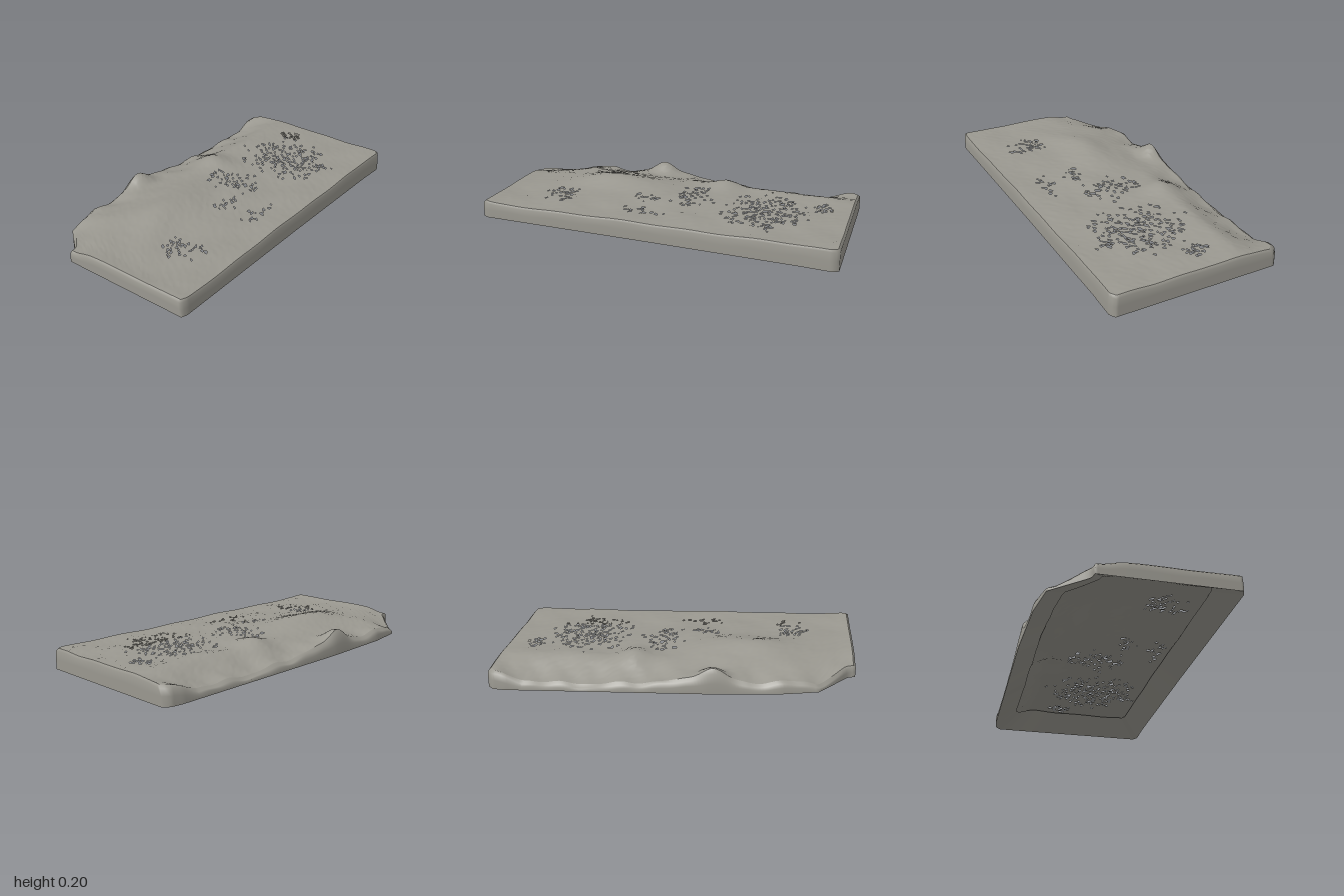
import * as THREE from 'three';

const NX = 120, NZ = 60;

// piecewise-linear profile through [x, value] points
function profile(points, x) {
  for (let i = 1; i < points.length; i++) {
    const [x0, a] = points[i - 1], [x1, b] = points[i];
    if (x <= x1) return a + (b - a) * (x - x0) / (x1 - x0);
  }
  return points[points.length - 1][1];
}

function seeded(seed) {
  return () => (seed = (seed * 16807) % 2147483647) / 2147483647;
}

// outline of the slab, with one broken back corner
const backEdge = [[-1, -0.25], [-0.96, -0.26], [-0.8, -0.45], [-0.6, -0.485], [-0.2, -0.505], [0.9, -0.51], [0.97, -0.5], [1, -0.47]];
const frontEdge = [[-1, 0.495], [-0.97, 0.507], [0, 0.49], [0.8, 0.482], [0.97, 0.486], [1, 0.465]];
// how far the top falls along the back edge
const backDrop = [[-1, 0.01], [-0.6, 0.03], [-0.45, 0.045], [-0.1, 0.035], [0.2, 0.055], [0.4, 0.074], [0.8, 0.068], [0.95, 0.015], [1, 0.005]];

// soft mounds and hollows on the top: x, z, radius in x, radius in z, height
const mounds = [
  [-0.42, -0.1, 0.24, 0.14, 0.042], [-0.23, -0.47, 0.1, 0.08, 0.076],
  [0.22, -0.27, 0.09, 0.12, 0.036], [-0.1, 0, 0.3, 0.2, 0.015], [0.6, -0.26, 0.25, 0.08, 0.012],
  [-0.87, -0.4, 0.16, 0.14, -0.045], [-1, -0.22, 0.12, 0.08, -0.025],
];
// worn areas with small holes: x, z, radius in x, radius in z
const wornAreas = [
  [0.52, 0.08, 0.27, 0.32], [-0.66, 0.23, 0.11, 0.17], [-0.16, 0.13, 0.1, 0.07],
  [-0.12, 0.31, 0.14, 0.06], [0.08, 0, 0.14, 0.22], [0.82, -0.1, 0.07, 0.12],
];

const bottomY = (x) => 0.038 - 0.038 * x;

function topY(x, z) {
  let y = 0.139 - 0.024 * x;
  for (const [mx, mz, rx, rz, h] of mounds) y += h * Math.exp(-(((x - mx) / rx) ** 2) - ((z - mz) / rz) ** 2);
  // rough strip falling towards the back
  const back = THREE.MathUtils.smoothstep(-z, 0.25, 0.5);
  y -= profile(backDrop, x) * back;
  y += back * 0.006 * (Math.sin(x * 21 + z * 9) + 0.6 * Math.sin(x * 37 - z * 23));
  // raised end and fine waviness
  y += 0.006 * THREE.MathUtils.smoothstep(-x, 0.9, 1);
  return y + 0.002 * (Math.sin(x * 17 + 2 * Math.sin(z * 11)) + Math.sin(z * 19 + x * 7));
}

function outline(u, v) {
  const x = -1 + 2 * u;
  return [x, THREE.MathUtils.lerp(profile(frontEdge, x), profile(backEdge, x), v)];
}

// the top edge lies inside the outline, further in along the back
const insetX = (x) => x * 0.988;
const insetZ = (z) => z * (0.98 - 0.035 * THREE.MathUtils.smoothstep(-z, 0.2, 0.48));

function makeMesh(name, positions, index, material) {
  const geometry = new THREE.BufferGeometry();
  geometry.setAttribute('position', new THREE.Float32BufferAttribute(positions, 3));
  geometry.setIndex(index);
  geometry.computeVertexNormals();
  const mesh = new THREE.Mesh(geometry, material);
  mesh.name = name;
  return mesh;
}

// uneven top sheet with scattered holes
function buildTop(material) {
  const random = seeded(71), positions = [], index = [];
  for (let j = 0; j <= NZ; j++) {
    for (let i = 0; i <= NX; i++) {
      const inside = i > 0 && j > 0 && i < NX && j < NZ ? 0.7 : 0;
      const u = i + inside * (random() - 0.5), v = j + inside * (random() - 0.5);
      const [ox, oz] = outline(u / NX, v / NZ);
      const x = insetX(ox), z = insetZ(oz);
      positions.push(x, topY(x, z) + 0.004 * inside * (random() - 0.5), z);
    }
  }
  for (let j = 0; j < NZ; j++) {
    for (let i = 0; i < NX; i++) {
      const a = j * (NX + 1) + i, b = a + 1, d = a + NX + 1, c = d + 1;
      const x = positions[3 * a], z = positions[3 * a + 2];
      let wear = 0;
      for (const [wx, wz, rx, rz] of wornAreas) {
        wear = Math.max(wear, 1 - ((x - wx) / rx) ** 2 - ((z - wz) / rz) ** 2);
      }
      if (random() > 0.18 * wear) index.push(a, b, c);
      if (random() > 0.18 * wear) index.push(a, c, d);
    }
  }
  return makeMesh('topSurface', positions, index, material);
}

// points round the outline, counter-clockwise from above
function perimeter() {
  const loop = [];
  for (let i = 0; i < NX; i++) loop.push(outline(i / NX, 0));
  for (let j = 0; j < NZ; j++) loop.push(outline(1, j / NZ));
  for (let i = NX; i > 0; i--) loop.push(outline(i / NX, 1));
  for (let j = NZ; j > 0; j--) loop.push(outline(0, j / NZ));
  return loop;
}

// strip of rings; each ring maps an outline point to a position
function buildBand(name, rings, material) {
  const loop = perimeter(), n = loop.length, positions = [], index = [];
  for (const ring of rings) for (const [x, z] of loop) positions.push(...ring(x, z));
  for (let r = 0; r < rings.length - 1; r++) {
    for (let i = 0; i < n; i++) {
      const a = r * n + i, b = r * n + (i + 1) % n;
      index.push(a, a + n, b + n, a, b + n, b);
    }
  }
  return makeMesh(name, positions, index, material);
}

export function createModel() {
  const group = new THREE.Group();
  group.name = 'stoneSlab';
  const stone = new THREE.MeshStandardMaterial({ color: 0x9a9890, side: THREE.DoubleSide });

  const rim = (x, z) => [insetX(x), topY(insetX(x), insetZ(z)), insetZ(z)];
  const shoulder = (x, z) => [x, topY(x, z) - 0.012, (insetZ(z) + 2 * z) / 3];
  const middle = (x, z) => [x, (topY(x, z) + bottomY(x)) / 2 + 0.003 * Math.sin(x * 23 + z * 17), z];
  const foot = (x, z) => [x, bottomY(x), z];
  const inner = (x, z) => [x * 0.88, topY(x * 0.88, z * 0.76) - 0.012, z * 0.76];

  group.add(buildTop(stone));
  group.add(buildBand('sideWalls', [rim, shoulder, middle, foot], stone));
  // sloping underside, open in the middle
  group.add(buildBand('undersideLip', [foot, inner], stone));
  return group;
}
